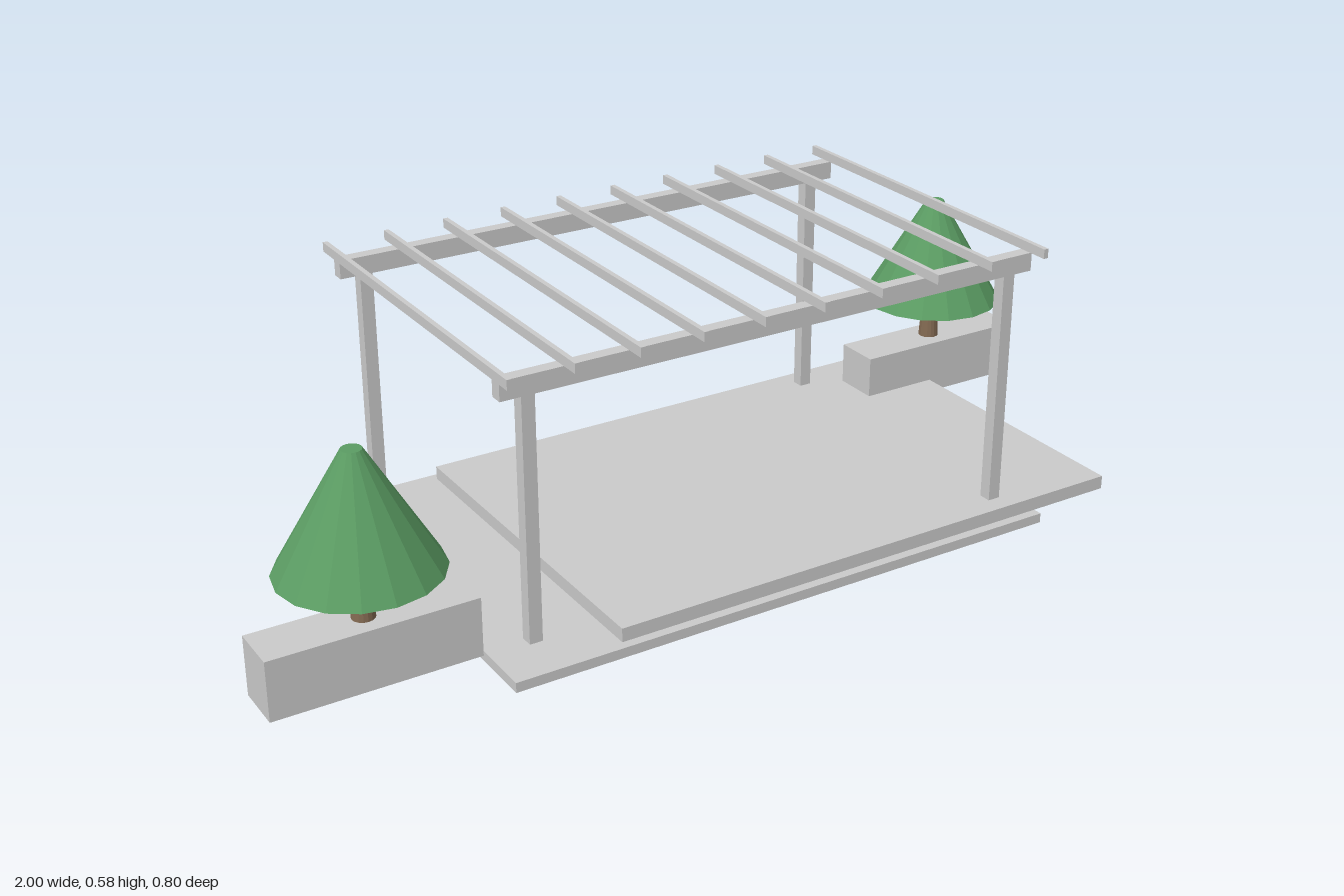
import * as THREE from 'three';

export function createModel() {
  const model = new THREE.Group();
  model.name = 'pergolaTerrace';

  const material = (name, color) => {
    const m = new THREE.MeshStandardMaterial({ color, flatShading: true });
    m.name = name;
    return m;
  };
  const stone = material('pale grey', 0xcacaca);
  const leaf = material('leaf green', 0x5b9c63);
  const bark = material('bark brown', 0x836a52);

  // Box given by its extents on each axis
  const box = (name, [x0, x1], [y0, y1], [z0, z1]) => {
    const mesh = new THREE.Mesh(new THREE.BoxGeometry(x1 - x0, y1 - y0, z1 - z0), stone);
    mesh.position.set((x0 + x1) / 2, (y0 + y1) / 2, (z0 + z1) / 2);
    mesh.name = name;
    model.add(mesh);
  };

  // Two overlapping floor slabs
  box('baseSlab', [-0.594, 0.591], [0, 0.02], [-0.4, 0.4]);
  box('deckSlab', [-0.37, 0.77], [0.02, 0.048], [-0.381, 0.381]);

  // Posts and the long beams they carry
  for (const side of [-1, 1]) {
    const z = [side * 0.329 - 0.013, side * 0.329 + 0.013];
    for (const x of [-0.522, 0.516]) box('post', [x - 0.013, x + 0.013], [0.048, 0.527], z);
    box('beam', [-0.575, 0.569], [0.527, 0.564], z);
  }

  // Rafters across the beams
  for (let i = 0; i < 10; i++) {
    const x = -0.575 + (i * 1.145) / 9;
    box('rafter', [x - 0.005, x + 0.005], [0.564, 0.583], [-0.381, 0.381]);
  }

  // A planter wall with a tree at opposite corners
  for (const side of [-1, 1]) {
    const x = side * 0.8;
    const z = side * -0.239;
    box('planter', [x - 0.2, x + 0.2], [0.019, 0.137], [z - 0.05, z + 0.05]);

    const tree = new THREE.Group();
    tree.name = 'tree';
    tree.position.set(x, 0, z);
    const trunk = new THREE.Mesh(new THREE.CylinderGeometry(0.016, 0.022, 0.095, 16), bark);
    trunk.name = 'trunk';
    trunk.position.y = 0.1845;
    const crown = new THREE.Mesh(new THREE.CylinderGeometry(0.019, 0.152, 0.228, 16), leaf);
    crown.name = 'crown';
    crown.position.y = 0.344;
    tree.add(trunk, crown);
    model.add(tree);
  }

  return model;
}
